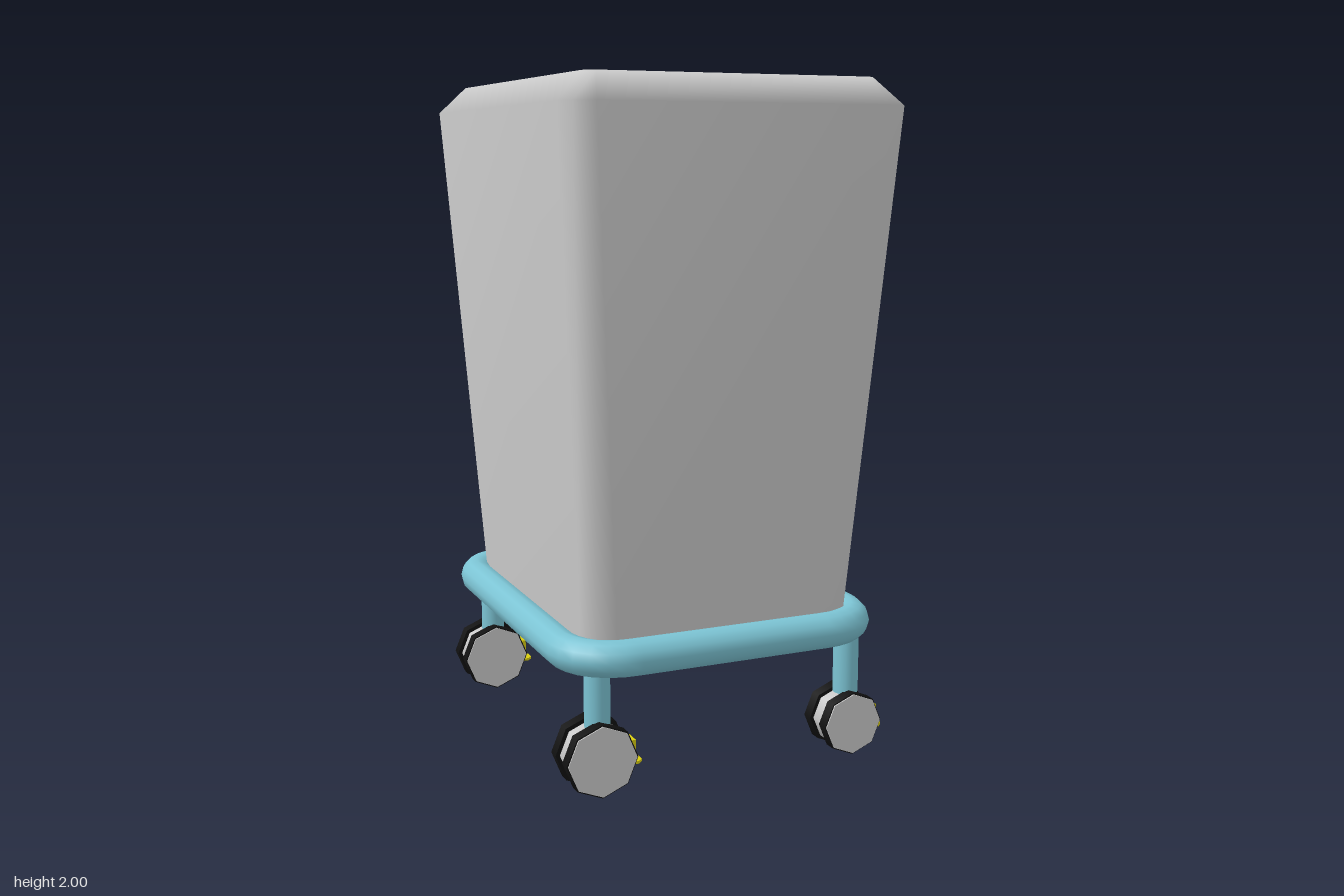
import * as THREE from 'three';

const mat = (color, side = THREE.FrontSide) => new THREE.MeshStandardMaterial({ color, side });
const grey = mat(0xcccccc), blue = mat(0x7cc4d4), black = mat(0x111111);
const yellow = mat(0xd8cc10);
const CX = -0.01;

function add(parent, name, geometry, material, x = 0, y = 0, z = 0) {
  const mesh = new THREE.Mesh(geometry, material);
  mesh.name = name;
  mesh.position.set(x, y, z);
  parent.add(mesh);
  return mesh;
}

// Tapered bin: rounded-rectangle rings stacked upwards, capped, smooth shaded
function binGeometry() {
  const rings = [ // y, half width, half depth, corner radius
    [0.39, 0.40, 0.50, 0.06], [0.42, 0.42, 0.522, 0.08],
    [1.92, 0.517, 0.64, 0.08], [2.0, 0.437, 0.56, 0.03],
  ];
  const pos = [], index = [], n = 12;
  for (const [y, w, d, r] of rings) {
    for (let q = 0; q < 4; q++) {
      const sx = q === 0 || q === 3 ? 1 : -1, sz = q < 2 ? 1 : -1;
      for (let k = 0; k < 3; k++) {
        const a = (q + k / 2) * Math.PI / 2;
        pos.push(sx * (w - r) + r * Math.cos(a), y, sz * (d - r) + r * Math.sin(a));
      }
    }
  }
  for (let i = 0; i < rings.length - 1; i++) {
    for (let j = 0; j < n; j++) {
      const a = i * n + j, b = i * n + (j + 1) % n;
      index.push(a, a + n, b, b, a + n, b + n);
    }
  }
  const base = pos.length / 3, last = (rings.length - 1) * n;
  pos.push(0, rings[0][0], 0, 0, 2, 0);
  for (let j = 0; j < n; j++) {
    const k = (j + 1) % n;
    index.push(base, j, k, base + 1, last + k, last + j);
  }
  const g = new THREE.BufferGeometry();
  g.setAttribute('position', new THREE.Float32BufferAttribute(pos, 3));
  g.setIndex(index);
  g.computeVertexNormals();
  return g;
}

// Tubular frame: round section swept along a rounded rectangle
function frameGeometry() {
  const w = 0.462, d = 0.552, r = 0.14;
  const path = new THREE.CurvePath();
  const v = (x, z) => new THREE.Vector3(x, 0, z);
  const corners = [[1, 1], [-1, 1], [-1, -1], [1, -1]];
  corners.forEach(([sx, sz], i) => {
    const alongX = v(sx * (w - r), sz * d), alongZ = v(sx * w, sz * (d - r));
    const [from, to] = i % 2 ? [alongX, alongZ] : [alongZ, alongX];
    const c = v(sx * (w - r * 0.12), sz * (d - r * 0.12));
    path.add(new THREE.QuadraticBezierCurve3(from, c, to));
    const [nx, nz] = corners[(i + 1) % 4];
    const next = i % 2 ? v(nx * w, nz * (d - r)) : v(nx * (w - r), nz * d);
    path.add(new THREE.LineCurve3(to, next));
  });
  return new THREE.TubeGeometry(path, 96, 0.053, 12, true);
}

// Octagonal wheel section lying along z
function disc(radius, length) {
  return new THREE.CylinderGeometry(radius, radius, length, 8).rotateX(Math.PI / 2).rotateZ(Math.PI / 2);
}

// Twin-wheel caster with brake pedal towards +x
function caster(r) {
  const g = new THREE.Group();
  g.name = 'caster';
  add(g, 'hub', disc(r * 0.88, 0.06), grey);
  for (const s of [-1, 1]) {
    add(g, 'tyre', disc(r, 0.036), black, 0, 0, s * 0.045);
    add(g, 'wheelCap', disc(r * 0.96, 0.005), grey, 0, 0, s * 0.0645);
  }
  add(g, 'brakeArm', new THREE.BoxGeometry(0.012, 0.07, 0.05), yellow, r + 0.002, -0.002);
  const pedal = new THREE.Shape();
  [[0, -0.03], [0.015, -0.03], [0.03, -0.016], [0.03, 0.016], [0.015, 0.03], [0, 0.03]]
    .forEach(([x, z], i) => (i ? pedal.lineTo(x, z) : pedal.moveTo(x, z)));
  const pedalGeo = new THREE.ExtrudeGeometry(pedal, { depth: 0.008, bevelEnabled: false }).rotateX(Math.PI / 2);
  add(g, 'brakePedal', pedalGeo, yellow, r, -0.03);
  return g;
}

export function createModel() {
  const model = new THREE.Group();
  model.name = 'wheeledBin';
  add(model, 'bin', binGeometry(), grey, CX);
  add(model, 'frame', frameGeometry(), blue, CX, 0.402);

  // Four legs with casters, larger wheels on the right side
  for (const sx of [-1, 1]) {
    for (const sz of [-1, 1]) {
      const x = sx < 0 ? -0.4 : 0.407, z = sz * 0.49;
      const r = sx < 0 ? 0.108 : 0.096;
      add(model, 'leg', new THREE.CylinderGeometry(0.038, 0.038, 0.22, 12), blue, x, 0.29, z);
      const c = caster(r);
      c.position.set(x - 0.008, r + 0.002, z);
      model.add(c);
    }
  }
  return model;
}
